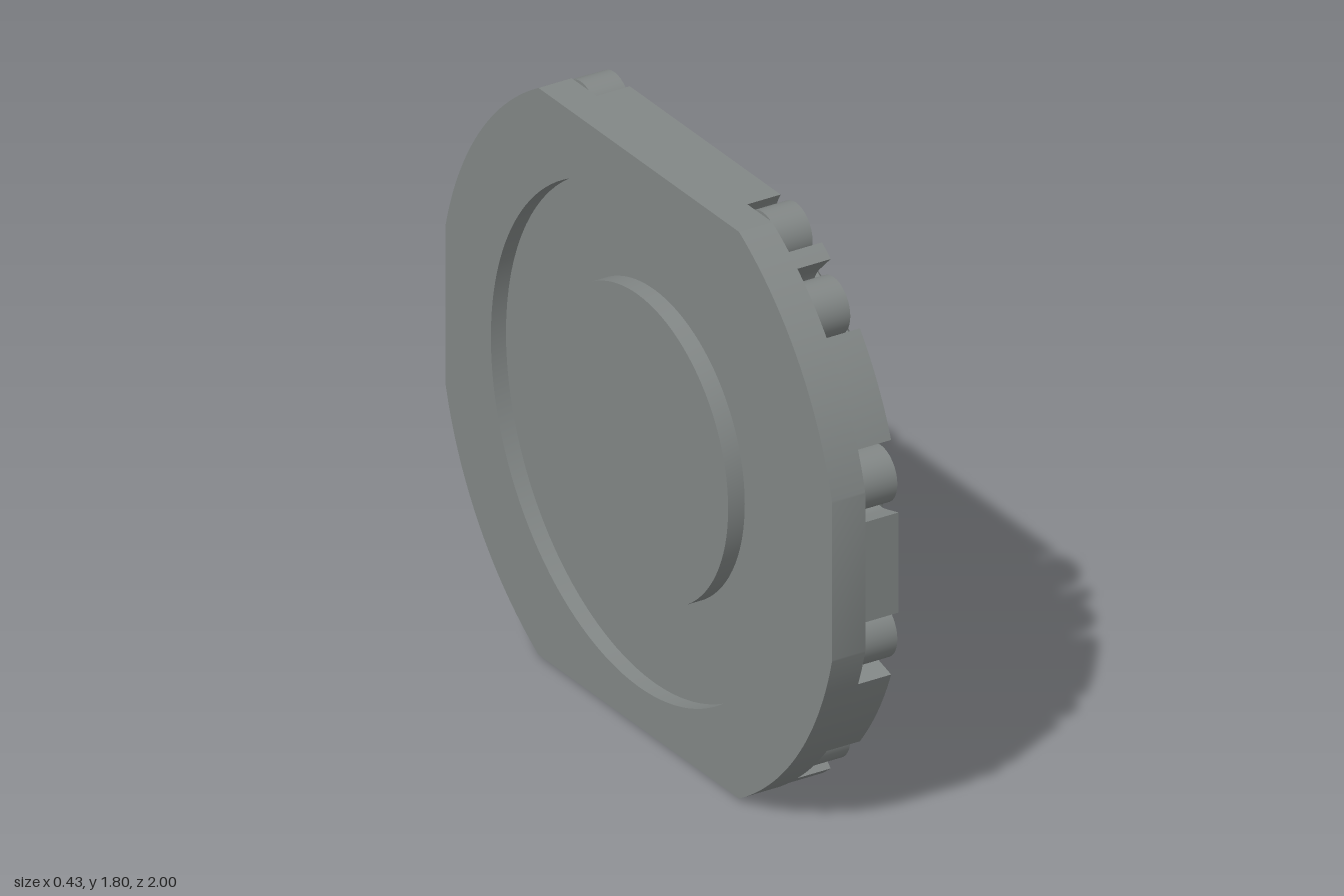
import * as THREE from 'three';
import { toCreasedNormals } from 'three/addons/utils/BufferGeometryUtils.js';

const R = 1.03, HALF_W = 1, HALF_H = 0.89;   // plate outline: circle cut by four flats
const BOLT_R = 0.94, SLOT = 0.107, CY = 0.9; // bolt circle, slot half width, axis height
const SEAT = 0.765;                          // bore of the plate holding the hub
const rad = THREE.MathUtils.degToRad;

export function createModel() {
  const model = new THREE.Group();
  const body = new THREE.Group();
  body.position.y = CY;
  model.add(body);

  const steel = new THREE.MeshStandardMaterial({ color: 0x828786 });
  steel.name = 'steel grey';

  const add = (name, geometry) => {
    const mesh = new THREE.Mesh(geometry, steel);
    mesh.name = name;
    body.add(mesh);
    return mesh;
  };
  // Extrude a shape along +x; shape x becomes -z
  const slab = (shape, x0, x1) => {
    const g = new THREE.ExtrudeGeometry(shape, { depth: x1 - x0, bevelEnabled: false, curveSegments: 64 });
    return toCreasedNormals(g.rotateY(Math.PI / 2).translate(x0, 0, 0), rad(25));
  };
  // Turn a profile of [radius, x] around the x axis
  const turned = (profile, segments = 96) => {
    const g = new THREE.LatheGeometry(profile.map(p => new THREE.Vector2(...p)), segments);
    return toCreasedNormals(g.rotateZ(-Math.PI / 2), rad(25));
  };
  const circle = (x, y, r) => new THREE.Path().absarc(x, y, r, 0, Math.PI * 2, true);

  // Bolt directions in all four quadrants
  const angles = [];
  for (let q = 0; q < 2; q++)
    for (const a of [15, 45, 60, 120, 135, 165]) angles.push(rad(a + q * 180));

  const edgeRadius = a => Math.min(R, HALF_W / Math.abs(Math.cos(a)), HALF_H / Math.abs(Math.sin(a)));
  // Point in a slot's own frame: t outward, s sideways
  const slotPoint = (a, t, s) => new THREE.Vector2(
    Math.cos(a) * t - Math.sin(a) * s, Math.sin(a) * t + Math.cos(a) * s);
  // Where the side of a slot runs out of the plate edge
  const slotExit = (a, s) => {
    let lo = 0.8, hi = 1.3;
    for (let i = 0; i < 30; i++) {
      const mid = (lo + hi) / 2, p = slotPoint(a, mid, s);
      if (p.length() < edgeRadius(p.angle())) lo = mid; else hi = mid;
    }
    return slotPoint(a, lo, s);
  };

  // Back layer of the plate: plain outline
  const cutW = Math.acos(HALF_W / R), cutH = Math.asin(HALF_H / R);
  const plain = new THREE.Shape();
  plain.absarc(0, 0, R, cutW, cutH, false);
  plain.absarc(0, 0, R, Math.PI - cutH, Math.PI - cutW, false);
  plain.absarc(0, 0, R, Math.PI + cutW, Math.PI + cutH, false);
  plain.absarc(0, 0, R, 2 * Math.PI - cutH, 2 * Math.PI - cutW, false);
  plain.closePath();
  plain.holes.push(circle(0, 0, SEAT));
  add('plateBack', slab(plain, -0.21, -0.1));

  // Front layer of the plate: outline notched by round-ended slots
  const outline = [];
  angles.forEach((a, i) => {
    outline.push(slotExit(a, -SLOT));
    for (let k = 0; k <= 20; k++) {
      const b = -Math.PI / 2 + Math.PI * k / 20;
      outline.push(slotPoint(a, BOLT_R - SLOT * Math.cos(b), SLOT * Math.sin(b)));
    }
    const out = slotExit(a, SLOT);
    outline.push(out);
    const next = angles[(i + 1) % angles.length];
    const from = out.angle();
    let to = slotExit(next, -SLOT).angle();
    if (to < from) to += Math.PI * 2;
    for (let k = 1; k < 12; k++) {
      const b = from + (to - from) * k / 12, r = edgeRadius(b);
      outline.push(new THREE.Vector2(Math.cos(b) * r, Math.sin(b) * r));
    }
  });
  const notched = new THREE.Shape(outline);
  notched.holes.push(circle(0, 0, SEAT));
  add('plateFront', slab(notched, -0.1, 0.01));

  // Bolts standing in the slots
  for (const a of angles) {
    const bolt = add('bolt', new THREE.CylinderGeometry(0.086, 0.086, 0.11, 32).rotateZ(-Math.PI / 2));
    bolt.position.set(-0.045, Math.sin(a) * BOLT_R, Math.cos(a) * BOLT_R);
  }

  // Recessed back web with raised boss, and chamfered hub wall
  add('hub', turned([[0, -0.215], [0.47, -0.215], [0.47, -0.16], [SEAT, -0.16],
    [SEAT, 0.01], [0.62, 0.01], [0.62, 0.198], [0.608, 0.21]]));
  add('centreBore', turned([[0.33, 0.21], [0.32, 0.2], [0.32, 0.01], [0, 0.01]]));

  // Hub face with its holes
  const face = new THREE.Shape().absarc(0, 0, 0.608, 0, Math.PI * 2, false);
  face.holes.push(circle(0, 0, 0.33), circle(0.49, 0, 0.095));
  for (const sy of [-1, 1]) for (const sz of [-1, 1]) {
    face.holes.push(circle(sz * 0.348, sy * 0.348, 0.065));
    // Drilled hole with a conical tip
    const hole = add('drilledHole', turned([[0.065, 0.21], [0.065, 0.06], [0, 0.02]], 32));
    hole.position.set(0, sy * 0.348, sz * 0.348);
  }
  add('hubFace', new THREE.ShapeGeometry(face, 64).rotateY(Math.PI / 2).translate(0.21, 0, 0));

  // Chamfered locating hole with a flat floor
  const pin = add('locatingHole', turned([[0.095, 0.21], [0.08, 0.195], [0.08, 0.08], [0, 0.08]], 40));
  pin.position.z = -0.49;

  return model;
}
